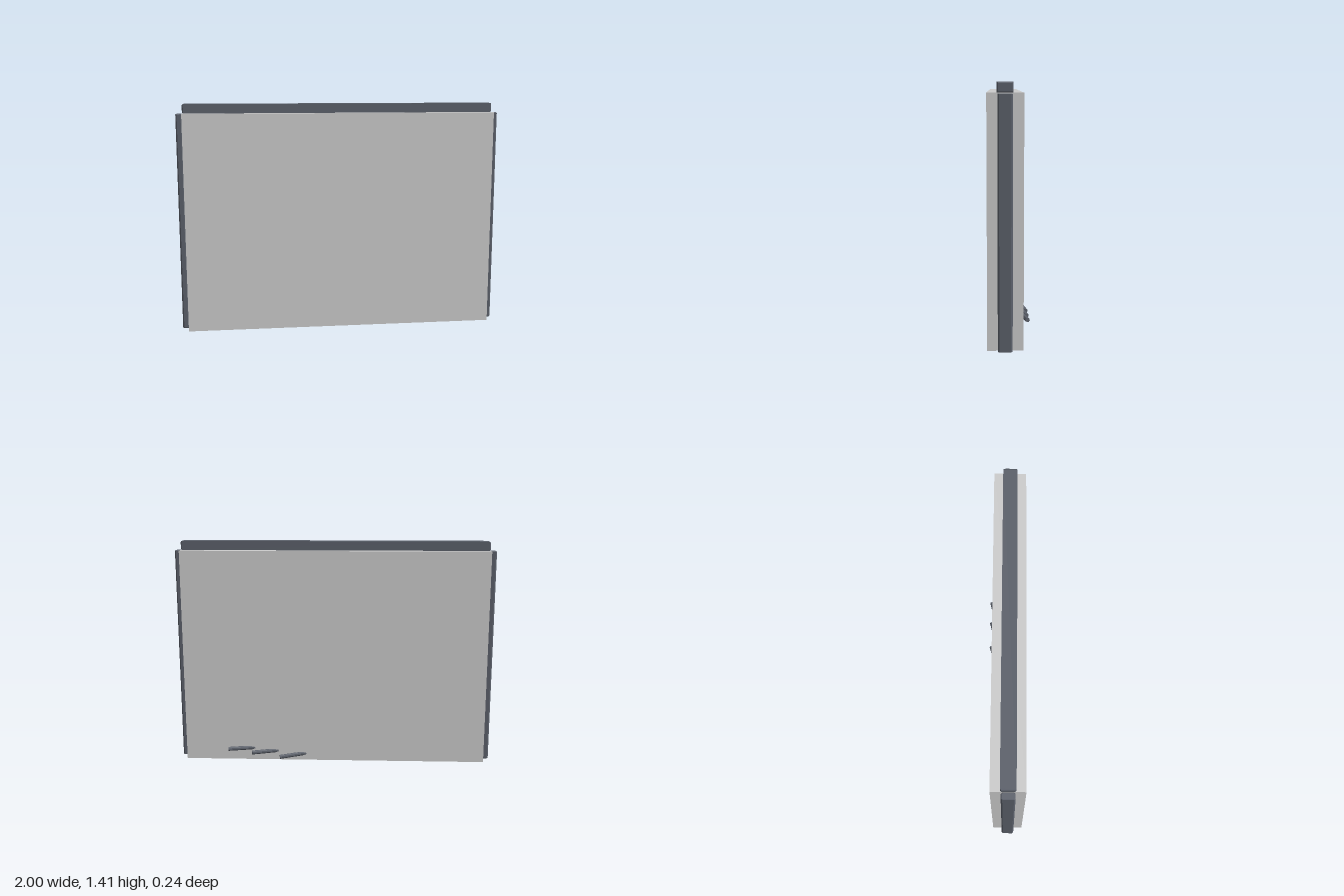
import * as THREE from 'three';

const dark = new THREE.MeshStandardMaterial({ color: 0x5b606a, flatShading: true });
const grey = new THREE.MeshStandardMaterial({ color: 0xcccccc, flatShading: true });

// Box with all edges chamfered; w, h, l are full sizes along x, y, z
function chamferedBox(w, h, l, c) {
  const x = w / 2 - c, y = h / 2 - c;
  const shape = new THREE.Shape([
    [-x, -y], [x, -y], [x, y], [-x, y],
  ].map(([a, b]) => new THREE.Vector2(a, b)));
  const geo = new THREE.ExtrudeGeometry(shape, {
    depth: l - 2 * c, bevelEnabled: true, bevelSize: c, bevelThickness: c, bevelSegments: 1,
  });
  return geo.translate(0, 0, -(l / 2 - c));
}

// Octagonal section made by cutting the four long corners
function octagonBar(w, d, length, cut, endBevel) {
  const x = w / 2 - endBevel, y = d / 2 - endBevel, k = cut;
  const shape = new THREE.Shape([
    [-x + k, -y], [x - k, -y], [x, -y + k], [x, y - k],
    [x - k, y], [-x + k, y], [-x, y - k], [-x, -y + k],
  ].map(([a, b]) => new THREE.Vector2(a, b)));
  const geo = new THREE.ExtrudeGeometry(shape, {
    depth: length - 2 * endBevel, bevelEnabled: true,
    bevelSize: endBevel, bevelThickness: endBevel, bevelSegments: 1,
  });
  return geo.translate(0, 0, -(length / 2 - endBevel));
}

export function createModel() {
  const group = new THREE.Group();
  const add = (name, geo, mat, x, y, z) => {
    const mesh = new THREE.Mesh(geo, mat);
    mesh.name = name;
    mesh.position.set(x, y, z);
    group.add(mesh);
    return mesh;
  };

  // Main slab
  add('panel', new THREE.BoxGeometry(1.92, 1.35, 0.192), grey, 0, 0.675, 0.022);

  // Upright rails on both ends
  for (const [side, name] of [[1, 'leftRail'], [-1, 'rightRail']]) {
    const geo = octagonBar(0.04, 0.078, 1.344, 0.006, 0.004).rotateX(Math.PI / 2);
    add(name, geo, dark, side * 0.98, 0.675, 0.023);
  }

  // Cap rail along the top
  add('topRail', chamferedBox(0.086, 0.056, 1.92, 0.007).rotateY(Math.PI / 2), dark, 0, 1.378, 0.023);

  // Three slanted pegs poking out of the back: free end x, y and rise towards the panel
  const pegs = [[0.683, 0.078, -0.002], [0.53, 0.055, 0.004], [0.35, 0.028, 0.014]];
  for (const [x, y, rise] of pegs) {
    const dir = new THREE.Vector3(0.16, -rise, -0.042).normalize();
    const length = 0.22;
    const end = new THREE.Vector3(x, y, -0.106);
    const mid = end.addScaledVector(dir, -length / 2);
    const peg = add('backPeg', new THREE.CylinderGeometry(0.013, 0.013, length, 8), dark, mid.x, mid.y, mid.z);
    peg.quaternion.setFromUnitVectors(new THREE.Vector3(0, 1, 0), dir);
  }
  return group;
}
